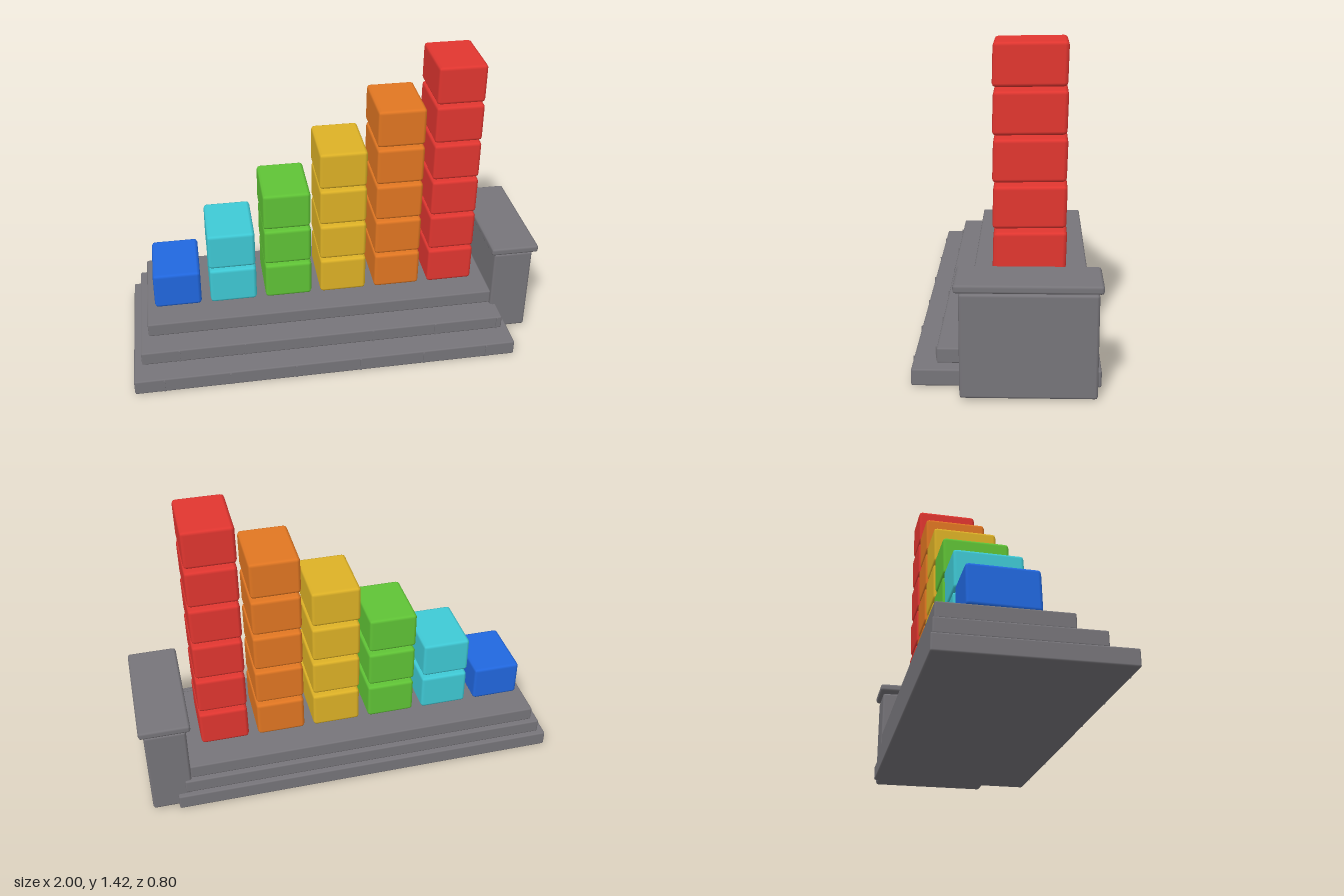
import * as THREE from 'three';
import { RoundedBoxGeometry } from 'three/addons/geometries/RoundedBoxGeometry.js';

const mat = (name, color) => {
  const m = new THREE.MeshStandardMaterial({ color });
  m.name = name;
  return m;
};

// softly bevelled slab given by its extents on each axis
function slab(name, material, [x0, x1], [y0, y1], [z0, z1], bevel) {
  const geo = new RoundedBoxGeometry(x1 - x0, y1 - y0, z1 - z0, 1, bevel);
  const mesh = new THREE.Mesh(geo, material);
  mesh.name = name;
  mesh.position.set((x0 + x1) / 2, (y0 + y1) / 2, (z0 + z1) / 2);
  return mesh;
}

export function createModel() {
  const model = new THREE.Group();
  model.name = 'steppedBlockStand';
  const stone = mat('stone grey', 0x77757a);
  const colours = [
    mat('blue', 0x2168e0), mat('cyan', 0x3fcad6), mat('green', 0x60c436),
    mat('yellow', 0xdeb226), mat('orange', 0xe27722), mat('red', 0xe23630),
  ];

  // three receding steps
  const steps = new THREE.Group();
  steps.name = 'steps';
  steps.add(
    slab('bottomStep', stone, [-1, 0.855], [0.003, 0.078], [-0.4, 0.392], 0.008),
    slab('middleStep', stone, [-0.96, 0.817], [0.088, 0.157], [-0.388, 0.287], 0.008),
    slab('topStep', stone, [-0.92, 0.785], [0.167, 0.237], [-0.376, 0.175], 0.008),
  );
  model.add(steps);

  // thin upright joint ridges along the fronts of the lower steps
  const joints = new THREE.Group();
  joints.name = 'stepJoints';
  const ridge = new THREE.BoxGeometry(0.008, 0.062, 0.009);
  for (const [x0, y, z] of [[-0.86, 0.04, 0.393], [-0.78, 0.122, 0.288]]) {
    for (let i = 0; i < 6; i++) {
      const joint = new THREE.Mesh(ridge, stone);
      joint.name = 'stepJoint';
      joint.position.set(x0 + i * 0.314, y, z);
      joints.add(joint);
    }
  }
  model.add(joints);

  // end pillar with overhanging cap
  const pillar = new THREE.Group();
  pillar.name = 'endPillar';
  pillar.add(
    slab('pillarBody', stone, [0.785, 0.977], [0.01, 0.459], [-0.378, 0.182], 0.012),
    slab('pillarCap', stone, [0.764, 0.998], [0.468, 0.505], [-0.394, 0.202], 0.012),
  );
  model.add(pillar);

  // block columns rising from one to six blocks
  const blockGeo = new RoundedBoxGeometry(0.228, 0.183, 0.306, 1, 0.016);
  // slight hand-cut unevenness: the back rises and the front foot leans out
  const pos = blockGeo.attributes.position;
  for (let i = 0; i < pos.count; i++) {
    const x = pos.getX(i), y = pos.getY(i), z = pos.getZ(i);
    pos.setXYZ(i, x + y * 0.015, y - z * 0.015, z - y * 0.025);
  }
  colours.forEach((material, c) => {
    const column = new THREE.Group();
    column.name = `${material.name}Column`;
    for (let r = 0; r <= c; r++) {
      const block = new THREE.Mesh(blockGeo, material);
      block.name = 'block';
      block.position.set(-0.765 + c * 0.2725, 0.34 + r * 0.1975, -0.098);
      column.add(block);
    }
    model.add(column);
  });

  return model;
}
